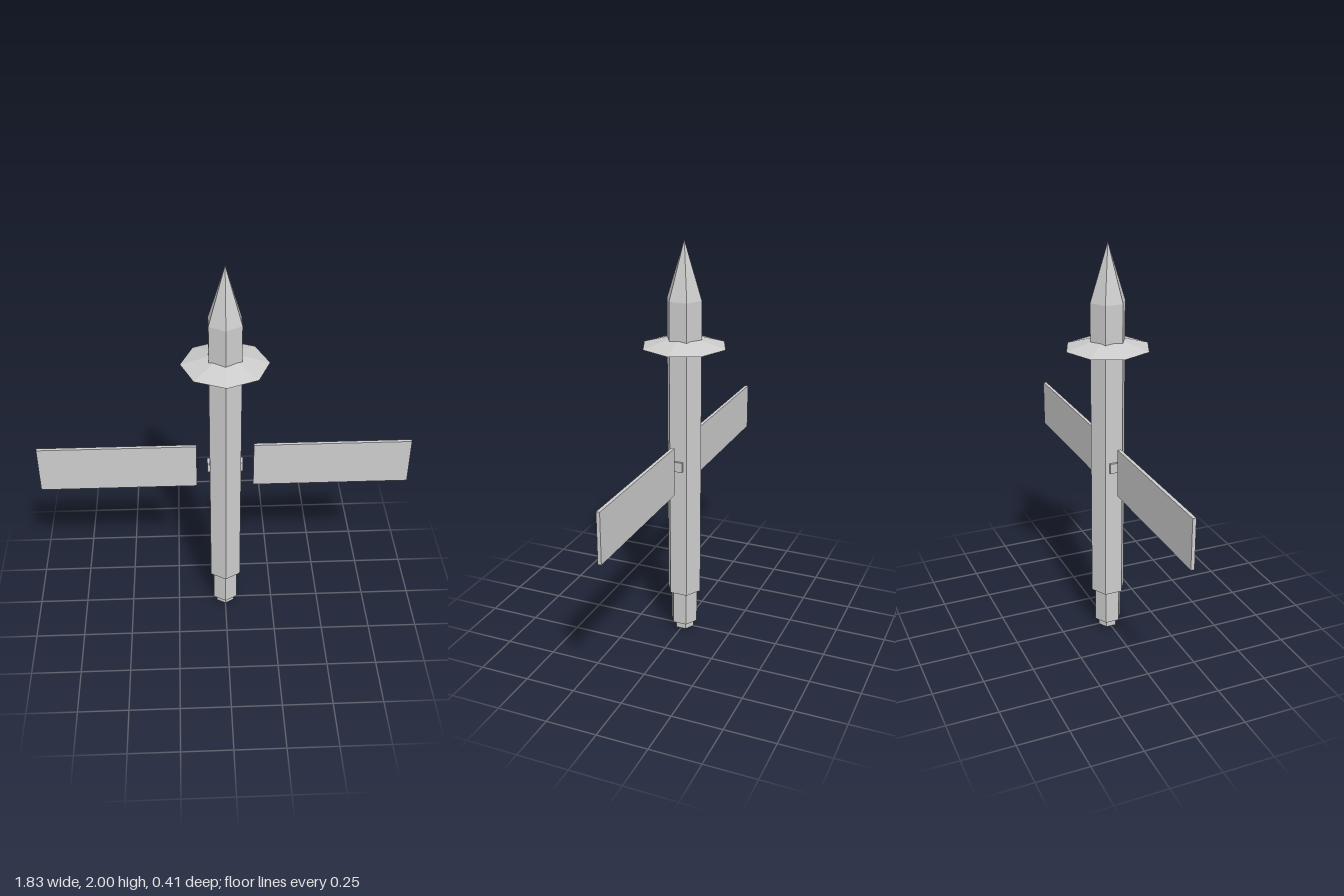
import * as THREE from 'three';

export function createModel() {
  const model = new THREE.Group();
  const material = new THREE.MeshStandardMaterial({ color: 0xcccccc, flatShading: true });

  function add(name, geometry, x, y) {
    const mesh = new THREE.Mesh(geometry, material);
    mesh.name = name;
    mesh.position.set(x, y, 0);
    model.add(mesh);
  }

  // Upright faceted section between two heights
  function section(name, rTop, rBottom, y0, y1, sides = 6) {
    add(name, new THREE.CylinderGeometry(rTop, rBottom, y1 - y0, sides), 0, (y0 + y1) / 2);
  }

  // Hexagonal shaft, stepped foot and pointed tip
  section('footCap', 0.051, 0.051, 0, 0.037);
  section('foot', 0.07, 0.07, 0.037, 0.216);
  section('shaft', 0.088, 0.088, 0.216, 1.725);

  add('tip', new THREE.ConeGeometry(0.088, 0.275, 6), 0, 1.8625);

  // Shallow eight-sided collar, its peak hidden in the shaft
  add('collar', new THREE.ConeGeometry(0.207, 0.062, 8), 0, 1.536);

  // Flat side panels and the small mounting blocks on the shaft
  for (const [side, s] of [['left', 1], ['right', -1]]) {
    add(side + 'Panel', new THREE.BoxGeometry(0.773, 0.243, 0.017), s * 0.5265, 0.9165);
    add(side + 'Mount', new THREE.BoxGeometry(0.018, 0.05, 0.048), s * 0.079, 0.919);
  }

  return model;
}
